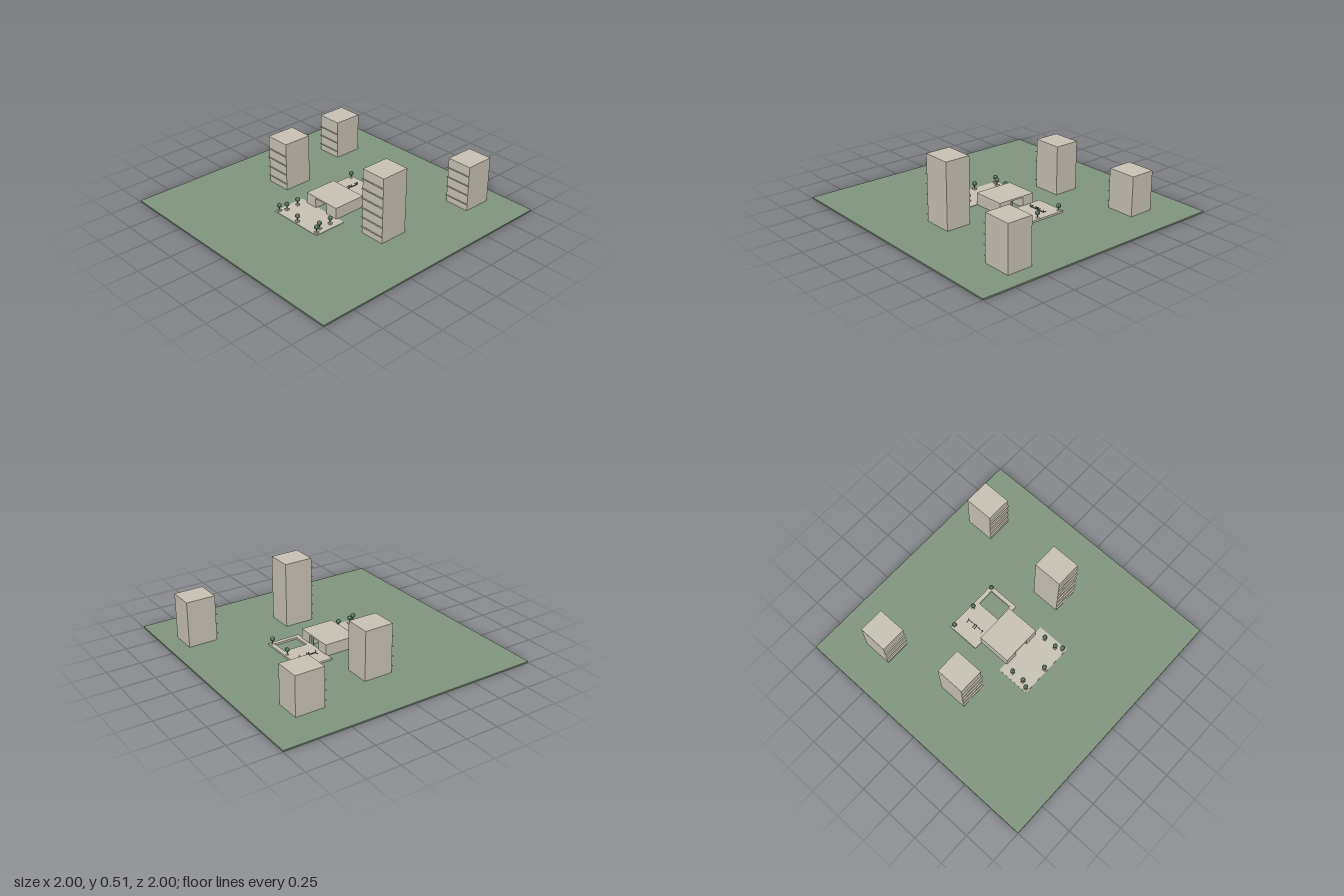
import * as THREE from 'three';

export function createModel() {
  const model = new THREE.Group();
  const mat = (name, color, flatShading = false) => {
    const m = new THREE.MeshStandardMaterial({ color, flatShading });
    m.name = name;
    return m;
  };
  const grass = mat('grass', 0x80957f);
  const concrete = mat('concrete', 0xc8c2b5);
  const leaf = mat('leaf', 0x5c7a64, true);
  const bark = mat('bark', 0x6b5a48);
  const metal = mat('metal', 0x55585a);

  const add = (name, geo, m, x, y, z, parent = model) => {
    const mesh = new THREE.Mesh(geo, m);
    mesh.name = name;
    mesh.position.set(x, y, z);
    parent.add(mesh);
    return mesh;
  };
  // Box given by its minimum and maximum on each axis
  const box = (name, m, x0, x1, y0, y1, z0, z1, parent) =>
    add(name, new THREE.BoxGeometry(x1 - x0, y1 - y0, z1 - z0), m,
      (x0 + x1) / 2, (y0 + y1) / 2, (z0 + z1) / 2, parent);
  const G = 0.01; // lawn level

  box('lawn', grass, -1, 1, 0, G, -1, 1);

  // Towers with a thin balcony slab on the front of every storey
  const towers = [[-0.63, -0.63, 0.31], [0.6, -0.755, 0.36], [-0.5, 0, 0.385], [0.5, 0, 0.51]];
  for (const [x, z, top] of towers) {
    const tower = new THREE.Group();
    tower.name = 'tower';
    model.add(tower);
    box('towerBody', concrete, x - 0.0975, x + 0.0975, G, top, z - 0.112, z + 0.11, tower);
    for (let y = 0.062; y < top - 0.04; y += 0.075)
      box('balconySlab', concrete, x - 0.102, x + 0.102, y - 0.002, y + 0.002, z + 0.108, z + 0.12, tower);
  }

  // Pavilion: two wings under one roof with an open passage
  const pavilion = new THREE.Group();
  pavilion.name = 'pavilion';
  model.add(pavilion);
  box('rightWing', concrete, -0.155, -0.06, G, 0.088, -0.133, 0.127, pavilion);
  box('leftWing', concrete, 0.055, 0.155, G, 0.088, -0.133, 0.127, pavilion);
  box('pavilionRoof', concrete, -0.155, 0.155, 0.088, 0.1, -0.133, 0.127, pavilion);
  box('passageScreen', grass, 0.025, 0.055, G, 0.078, -0.12, -0.114, pavilion);

  // Front square
  box('frontSquare', concrete, -0.223, 0.223, G, 0.014, 0.115, 0.372);

  // Raised rear terrace with a sunken lawn
  const terrace = new THREE.Shape();
  terrace.moveTo(-0.222, 0.125).lineTo(0.22, 0.125).lineTo(0.22, 0.378).lineTo(-0.222, 0.378).closePath();
  const pit = new THREE.Path();
  pit.moveTo(0.055, 0.16).lineTo(0.055, 0.345).lineTo(0.188, 0.345).lineTo(0.188, 0.16).closePath();
  terrace.holes.push(pit);
  const terraceGeo = new THREE.ExtrudeGeometry(terrace, { depth: 0.014, bevelEnabled: false });
  terraceGeo.rotateX(-Math.PI / 2);
  add('rearTerrace', terraceGeo, concrete, 0, G, 0);

  // Two bracket-shaped racks on the terrace
  for (const z of [-0.282, -0.206]) {
    const rack = new THREE.Group();
    rack.name = 'rack';
    rack.position.set(-0.09, 0, z);
    model.add(rack);
    box('rackRail', metal, -0.003, 0, 0.024, 0.03, -0.03, 0.03, rack);
    for (const s of [-0.03, 0.03]) {
      box('rackPost', metal, -0.003, 0, 0.024, 0.047, s - 0.0015, s + 0.0015, rack);
      box('rackArm', metal, -0.028, 0, 0.024, 0.028, s - 0.0015, s + 0.0015, rack);
    }
  }

  // Small trees in planters
  const crownGeo = new THREE.IcosahedronGeometry(0.018, 1);
  const trunkGeo = new THREE.CylinderGeometry(0.003, 0.004, 0.035, 6);
  const planterGeo = new THREE.BoxGeometry(0.024, 0.014, 0.024);
  const spots = [[0, 0.35], [0, -0.355]];
  for (const s of [-1, 1])
    spots.push([s * 0.2, 0.35], [s * 0.175, 0.3], [s * 0.175, 0.2], [s * 0.2, -0.355]);
  spots.forEach(([x, z], i) => {
    const tree = new THREE.Group();
    tree.name = 'tree';
    tree.position.set(x, 0, z);
    tree.rotation.y = i * 0.7;
    model.add(tree);
    add('crown', crownGeo, leaf, 0, 0.061, 0, tree);
    add('trunk', trunkGeo, bark, 0, 0.035, 0, tree);
    const planter = add('planter', planterGeo, concrete, 0, 0.019, 0, tree);
    planter.rotation.y = -i * 0.7;
  });
  return model;
}
